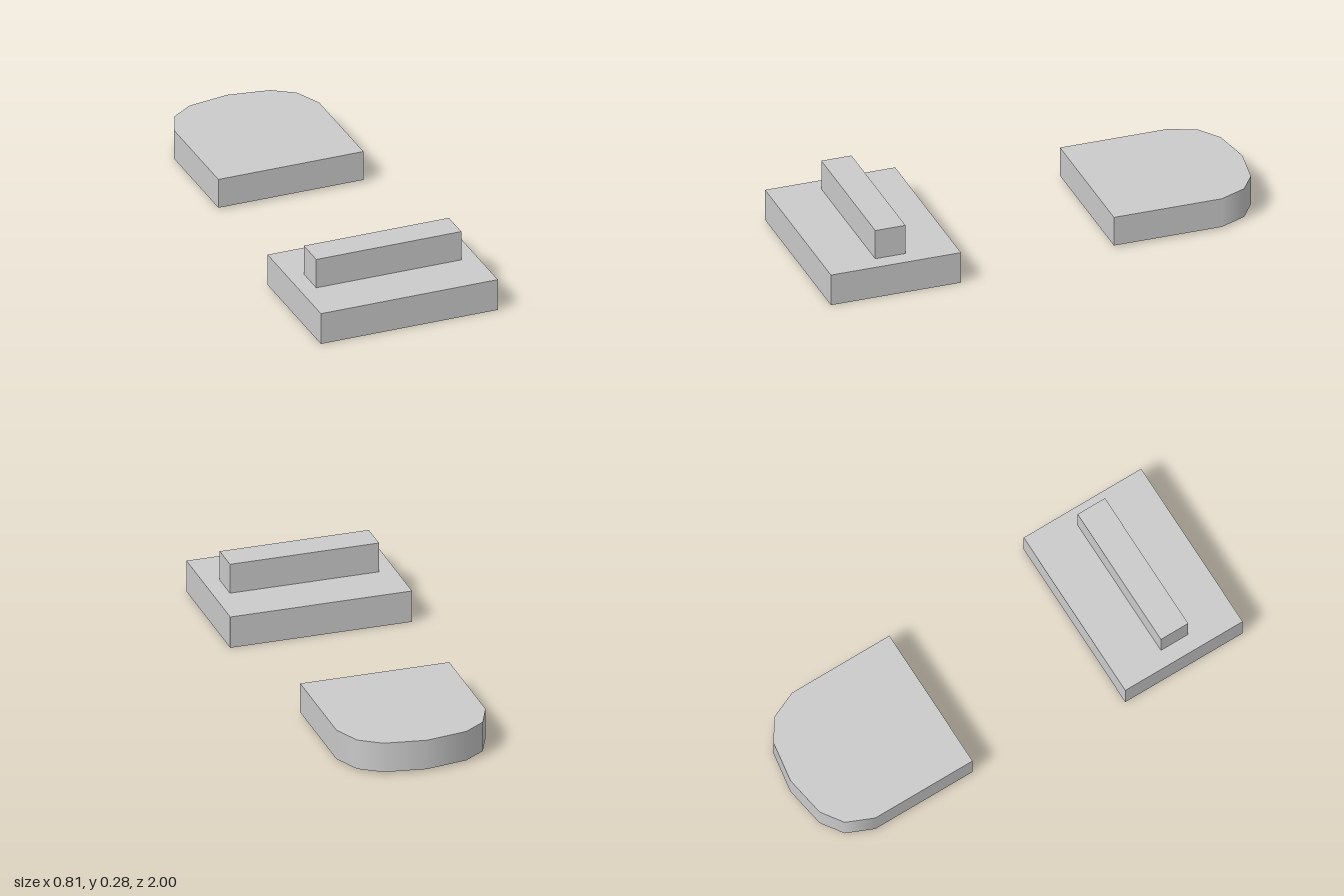
import * as THREE from 'three';

const solid = new THREE.MeshStandardMaterial({ color: 0xcccccc });
const sheet = new THREE.MeshStandardMaterial({ color: 0xcccccc, side: THREE.DoubleSide });

function add(parent, name, geometry, material) {
  const mesh = new THREE.Mesh(geometry, material);
  mesh.name = name;
  parent.add(mesh);
  return mesh;
}

// Four thin walls around a rectangle, open above and below
function wallRing(width, height, depth) {
  const g = new THREE.CylinderGeometry(Math.SQRT1_2, Math.SQRT1_2, 1, 4, 1, true, Math.PI / 4)
    .toNonIndexed();
  g.scale(width, height, depth);
  g.computeVertexNormals();
  return g;
}

// Rectangle outline centred on (0, y)
function rectangle(width, depth, y, Type) {
  const w = width / 2, d = depth / 2;
  return new Type([[-w, y - d], [w, y - d], [w, y + d], [-w, y + d]]
    .map(([a, b]) => new THREE.Vector2(a, b)));
}

export function createModel() {
  const model = new THREE.Group();
  model.name = 'model';

  // Hollow base, open underneath, with a raised hollow bar
  const base = new THREE.Group();
  base.name = 'hollowBase';
  model.add(base);
  const baseZ = 0.7075, barZ = 0.706, top = 0.144;
  add(base, 'baseWalls', wallRing(0.81, top, 0.585), sheet).position.set(0, top / 2, baseZ);

  // Deck with a slot opening into the bar
  const deck = rectangle(0.81, 0.585, -baseZ, THREE.Shape);
  deck.holes.push(rectangle(0.664, 0.136, -barZ, THREE.Path));
  const deckGeometry = new THREE.ShapeGeometry(deck).rotateX(-Math.PI / 2);
  add(base, 'deck', deckGeometry, sheet).position.y = top;

  add(base, 'barWalls', wallRing(0.664, 0.135, 0.136), sheet).position.set(0, top + 0.0675, barZ);
  const barTop = new THREE.PlaneGeometry(0.664, 0.136).rotateX(-Math.PI / 2);
  add(base, 'barTop', barTop, sheet).position.set(0, 0.279, barZ);

  // Solid slab with a rounded back end
  const half = [[0.332, 0.3], [0.332, 0.785], [0.28, 0.905], [0.185, 0.97]];
  const mirrored = half.map(([x, y]) => [-x, y]).reverse();
  const outline = [...half, [0, 1], ...mirrored].map(([x, y]) => new THREE.Vector2(x, y));
  const slab = new THREE.ExtrudeGeometry(new THREE.Shape(outline), { depth: 0.135, bevelEnabled: false })
    .rotateX(-Math.PI / 2);
  // Smooth the shading around the curved end
  const p = slab.attributes.position, n = slab.attributes.normal, v = new THREE.Vector3();
  for (let i = 0; i < p.count; i++) {
    if (Math.abs(n.getY(i)) > 0.5 || n.getZ(i) > -0.1) continue;
    v.set(p.getX(i) / 0.332 ** 2, 0, (p.getZ(i) + 0.785) / 0.215 ** 2).normalize();
    n.setXYZ(i, v.x, v.y, v.z);
  }
  add(model, 'roundedSlab', slab, solid).position.y = 0.009;

  return model;
}
